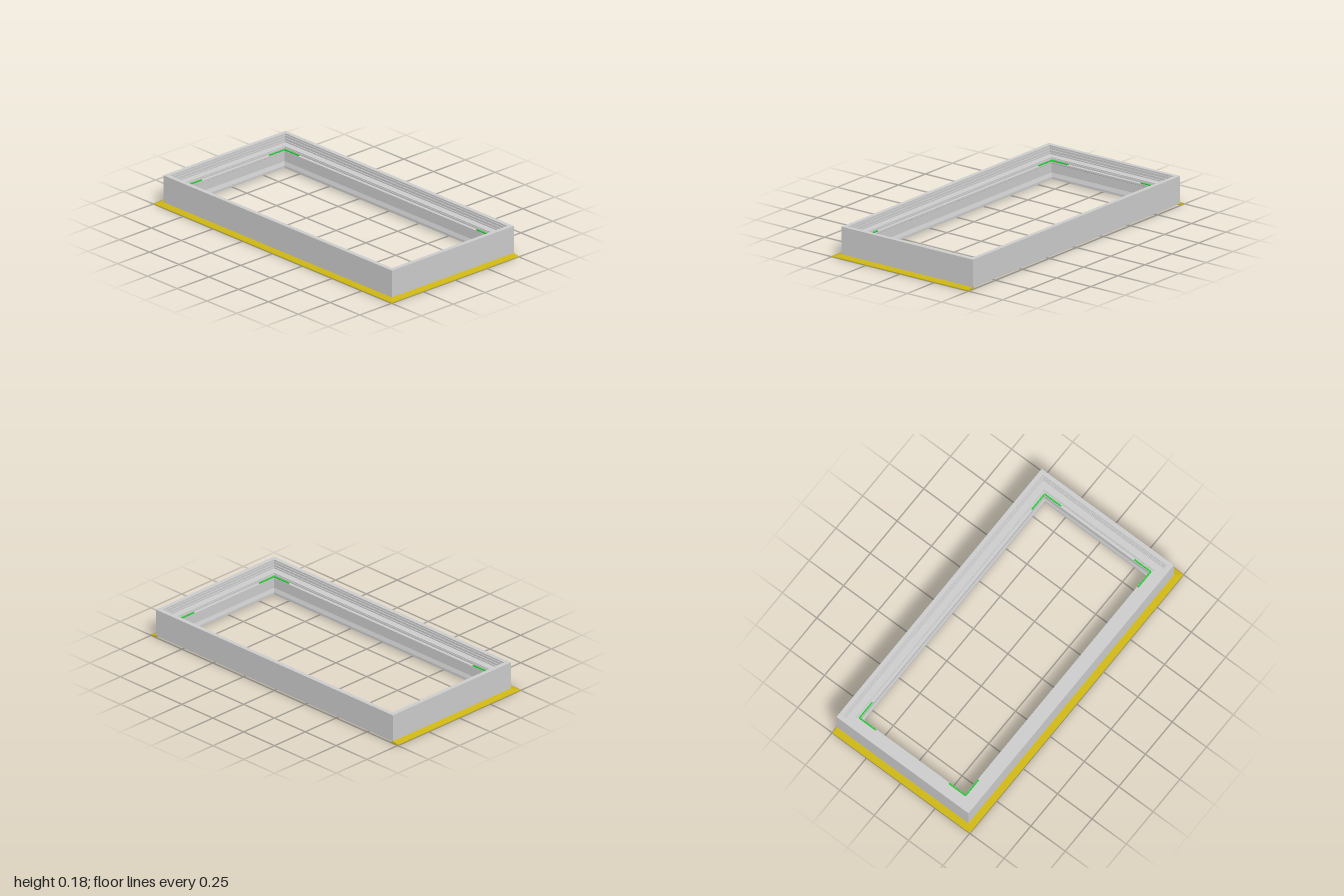
import * as THREE from 'three';

const HALF_X = 0.96, HALF_Z = 0.48, MID_Z = -0.02;

const material = (color) => new THREE.MeshStandardMaterial({ color, flatShading: true, side: THREE.DoubleSide });

// Mitred corner: a profile point [inset, y] placed at the corner with signs sx, sz
const corner = (sx, sz) => ([d, y]) => [sx * (HALF_X - d), y, MID_Z + sz * (HALF_Z - d)];
// Square end of a side rail, cut off at a fixed z
const cutEnd = (sx, z) => ([d, y]) => [sx * (HALF_X - d), y, z];

// Sweep a closed profile through a list of stations
function sweep(profile, stations, closed) {
  const pos = [];
  const tri = (...pts) => pts.forEach((p) => pos.push(...p));
  const n = profile.length, count = closed ? stations.length : stations.length - 1;
  for (let k = 0; k < count; k++) {
    const s = stations[k], t = stations[(k + 1) % stations.length];
    for (let i = 0; i < n; i++) {
      const p = profile[i], q = profile[(i + 1) % n];
      tri(s(p), t(p), t(q));
      tri(s(p), t(q), s(q));
    }
  }
  // Flat caps on the ends of an open sweep
  if (!closed) {
    const first = stations[0], last = stations[stations.length - 1];
    for (let i = 1; i < n - 1; i++) {
      tri(first(profile[0]), first(profile[i]), first(profile[i + 1]));
      tri(last(profile[0]), last(profile[i + 1]), last(profile[i]));
    }
  }
  const geometry = new THREE.BufferGeometry();
  geometry.setAttribute('position', new THREE.Float32BufferAttribute(pos, 3));
  geometry.computeVertexNormals();
  return geometry;
}

export function createModel() {
  const group = new THREE.Group();
  const add = (name, geometry, mat, parent = group) => {
    const mesh = new THREE.Mesh(geometry, mat);
    mesh.name = name;
    parent.add(mesh);
    return mesh;
  };
  const grey = material(0xcccccc), yellow = material(0xcbb413), green = material(0x22cc33);

  // Frame: plain outer wall, rim, grooved inner wall, ledge, lip and sloping foot
  const frameProfile = [
    [0, 0.013], [0, 0.18], [0.027, 0.18], [0.027, 0.17],
    [0.032, 0.17], [0.032, 0.162], [0.028, 0.162], [0.028, 0.154],
    [0.034, 0.154], [0.034, 0.146], [0.03, 0.146], [0.03, 0.138],
    [0.036, 0.138], [0.036, 0.13], [0.078, 0.13], [0.078, 0.124],
    [0.082, 0.124], [0.082, 0.115], [0.1, 0.115], [0.1, 0.105],
    [0.092, 0.1], [0.092, 0.045], [0.1, 0.022], [0.1, 0.008],
    [0.075, 0.008], [0.075, 0.013],
  ];
  const ring = [corner(-1, 1), corner(1, 1), corner(1, -1), corner(-1, -1)];
  add('frame', sweep(frameProfile, ring, true), grey);

  // Bevelled skirt round the front and both sides, open at the back
  const skirtProfile = [[-0.04, 0], [-0.04, 0.004], [0, 0.013], [0.012, 0.013], [0.012, 0.006], [0, 0]];
  const skirtPath = [cutEnd(-1, -0.498), corner(-1, 1), corner(1, 1), cutEnd(1, -0.498)];
  add('skirt', sweep(skirtProfile, skirtPath, false), yellow);

  // L-shaped clips in the four inner corners of the lip
  const inset = 0.094, length = 0.12, width = 0.008, height = 0.006;
  for (const sx of [-1, 1]) for (const sz of [-1, 1]) {
    const clip = new THREE.Group();
    clip.name = 'cornerClip';
    clip.position.set(sx * (HALF_X - inset), 0.115 + height / 2, MID_Z + sz * (HALF_Z - inset));
    add('clipLongArm', new THREE.BoxGeometry(length, height, width), green, clip).position.x = -sx * length / 2;
    add('clipShortArm', new THREE.BoxGeometry(width, height, length), green, clip).position.z = -sz * length / 2;
    group.add(clip);
  }
  return group;
}
